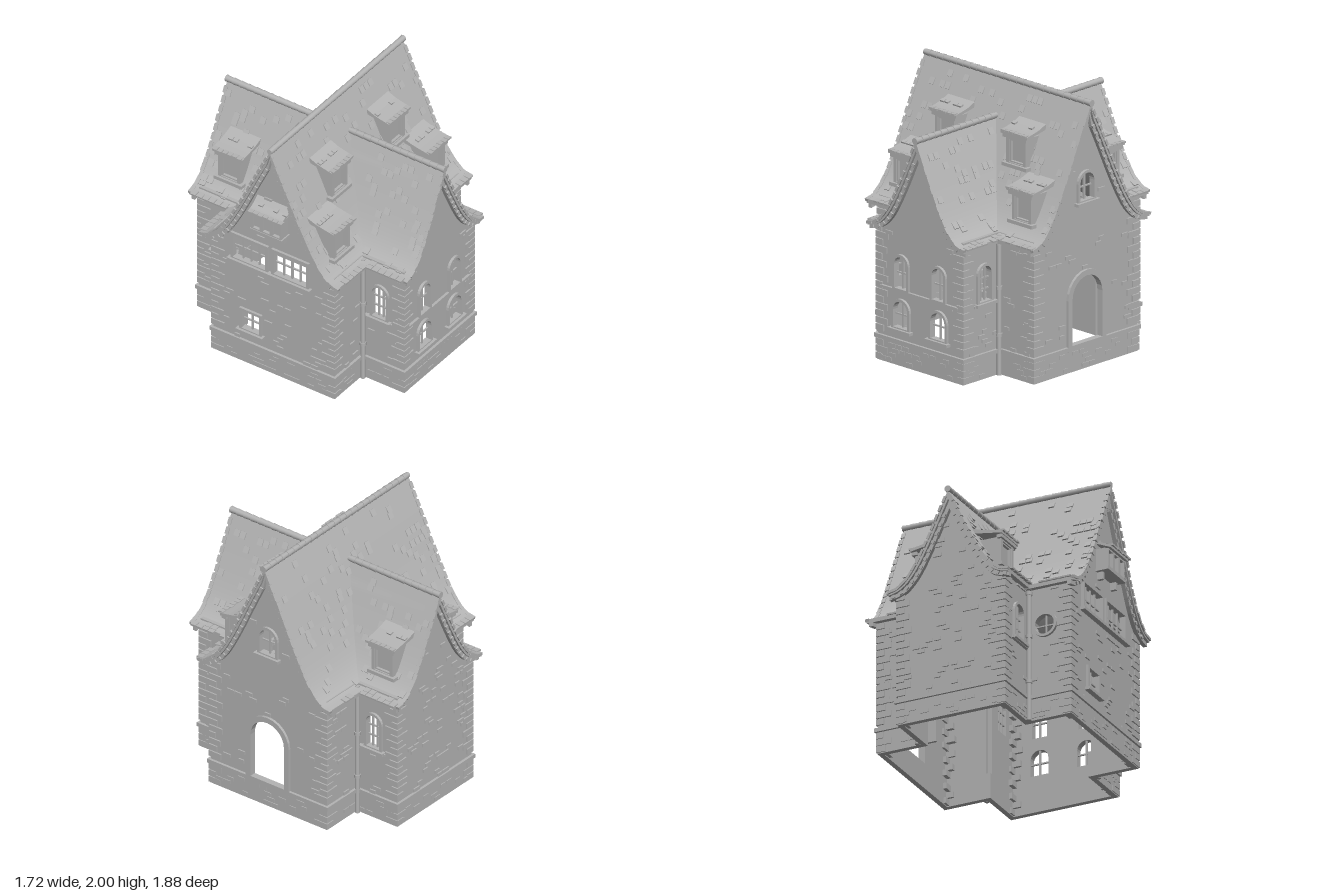
import * as THREE from 'three';
import { mergeGeometries, toCreasedNormals } from 'three/addons/utils/BufferGeometryUtils.js';

const stone = new THREE.MeshStandardMaterial({ color: 0xb4b4b4, side: THREE.DoubleSide });
stone.name = 'grey stone';
const PI = Math.PI, V = (x, y) => new THREE.Vector2(x, y);
let seed = 7;
const rand = () => (seed = (seed * 16807) % 2147483647) / 2147483647;

// Bell-cast roof curve: distance from the ridge -> height
const curve = new THREE.SplineCurve([[0, 1.97], [.12, 1.72], [.27, 1.4], [.37, 1.21], [.45, 1.1], [.52, 1.045], [.59, 1.025]]
  .map(p => V(...p))).getPoints(48);
function height(t) {
  t = Math.min(Math.abs(t), .59);
  const i = Math.max(1, curve.findIndex(p => p.x >= t - 1e-6));
  const a = curve[i - 1], b = curve[i];
  return a.y + (b.y - a.y) * (t - a.x) / (b.x - a.x);
}
const slope = t => (height(Math.min(t + .01, .59)) - height(Math.min(t + .01, .59) - .02)) / .02;
const SHIFT = .12; // the wings share the curve, starting lower down

function box(w, h, d, x = 0, y = 0, z = 0, rx = 0, rz = 0) {
  return new THREE.BoxGeometry(w, h, d).rotateX(rx).rotateZ(rz).translate(x, y, z).toNonIndexed();
}
const extrude = (shape, depth, z = 0) =>
  new THREE.ExtrudeGeometry(shape, { depth, bevelEnabled: false, curveSegments: 8 }).translate(0, 0, z);
function add(parent, name, geos) {
  if (Array.isArray(geos)) { if (!geos.length) return; geos = mergeGeometries(geos); }
  const m = new THREE.Mesh(geos, stone);
  m.name = name;
  parent.add(m);
}
// Group whose local +z points outward from one side of the house
function side(house, name, rot) {
  const g = new THREE.Group();
  g.name = name;
  g.rotation.y = rot;
  house.add(g);
  return g;
}

// Opening outline with its bottom centre at (u, y)
function outline(kind, u, y, w, h) {
  const r = w / 2, pts = [];
  if (kind === 'rect') pts.push(V(-r, 0), V(r, 0), V(r, h), V(-r, h));
  else if (kind === 'round') for (let i = 0; i < 20; i++) pts.push(V(r * Math.cos(i * PI / 10), r + r * Math.sin(i * PI / 10)));
  else {
    pts.push(V(-r, 0), V(r, 0));
    for (let i = 0; i <= 12; i++) pts.push(V(r * Math.cos(i * PI / 12), h - r + r * Math.sin(i * PI / 12)));
  }
  return pts.map(p => p.add(V(u, y)));
}
function ring(kind, u, y, w, h, f) {
  const s = new THREE.Shape(outline(kind, u, y - f, w + 2 * f, h + 2 * f));
  s.holes.push(new THREE.Path(outline(kind, u, y, w, h)));
  return s;
}
function windowTrim(g, dist, o) {
  const { kind, u, y, w, h, f = .02, v = 1, rows = 2, sill = true } = o;
  const parts = [extrude(ring(kind, u, y, w, h, f), .045, dist - .025)];
  for (let i = 1; i <= v; i++) parts.push(box(.012, h, .015, u - w / 2 + w * i / (v + 1), y + h / 2, dist - .015));
  for (let i = 1; i < rows; i++) parts.push(box(w, .01, .012, u, y + h * i / rows * .95, dist - .015));
  if (sill) parts.push(box(w + .08, .022, .06, u, y - f, dist + .01));
  add(g, 'windowFrame', parts);
}

// Wall panel with openings, trims and proud stones
function wall(g, dist, u0, u1, shift, openings = [], density = .13) {
  const top = u => shift === null ? 1.05 : height(Math.abs(u) + shift) - .03;
  const pts = [V(u0, .1), V(u1, .1)], n = shift === null ? 1 : 40;
  for (let i = 0; i <= n; i++) { const u = u1 + (u0 - u1) * i / n; pts.push(V(u, top(u))); }
  const s = new THREE.Shape(pts);
  for (const o of openings) s.holes.push(new THREE.Path(outline(o.kind, o.u, o.y, o.w, o.h)));
  add(g, 'wall', extrude(s, .03, dist - .03));
  for (const o of openings) windowTrim(g, dist, o);
  const bricks = [];
  for (let y = .03, row = 0; y < 1.7; y += .036, row++) {
    for (let u = u0 + .05 + (row % 2) * .03; u < u1 - .04; u += .066) {
      if (rand() > (y < .16 ? .35 : y > 1.05 ? density * .5 : density)) continue;
      if (y + .12 > top(u) && shift !== null && y > 1) continue;
      if (y > 1.02 && shift === null || Math.abs(y - .18) < .03) continue;
      if (openings.some(o => Math.abs(u - o.u) < o.w / 2 + .065 && y > o.y - .05 && y < o.y + o.h + .06)) continue;
      bricks.push(box(.045 + rand() * .025, .026, .016, u, y, dist + .002));
    }
  }
  add(g, 'wallStones', bricks);
}

// Cross-shaped band running around the whole plan
function crossBand(o, y0, y1) {
  const plan = k => {
    const X = .76 + k, W = .42 + k, Z = .52 + k, L = .88 + k;
    return [[W, L], [-W, L], [-W, Z], [-X, Z], [-X, -Z], [-W, -Z], [-W, -L], [W, -L], [W, -Z], [X, -Z], [X, Z], [W, Z]].map(p => V(...p));
  };
  const s = new THREE.Shape(plan(o));
  s.holes.push(new THREE.Path(plan(-.035)));
  return extrude(s, y1 - y0).rotateX(-PI / 2).translate(0, y0, 0);
}

// Band following the roof curve; a and b are depths below the surface
function roofBand(shift, a, b) {
  const up = [], low = [], half = .59 - shift, n = 44;
  for (let i = 0; i <= n; i++) {
    const u = -half + 2 * half * i / n, t = Math.abs(u) + shift, k = Math.hypot(1, slope(t));
    up.push(V(u, height(t) - a * k));
    low.unshift(V(u, height(t) - b * k));
  }
  return new THREE.Shape([...up, ...low]);
}
function roof(g, shift, z0, z1, ends, visible) {
  const geo = extrude(roofBand(shift, 0, .03), z1 - z0, z0), p = geo.attributes.position;
  // Mitre the inner end of a wing roof along the valleys
  if (shift) for (let i = 0; i < p.count; i++) if (Math.abs(p.getZ(i) - z0) < 1e-4) p.setZ(i, Math.abs(p.getX(i)) + .09);
  add(g, 'roof', toCreasedNormals(geo, .6));
  // Proud tiles, with full courses along the eaves
  const tiles = [], half = .59 - shift;
  for (const sgn of [-1, 1]) for (let u = .04; u < half + .01; u += .03 / Math.hypot(1, slope(u + shift)) + .006) {
    const eave = u > half - .02, a = Math.atan(slope(u + shift));
    for (let z = z0 + .03 + rand() * .02; z < z1 - .02; z += .052) {
      if (!visible(sgn * u, z) || rand() > (eave ? .8 : .14)) continue;
      tiles.push(box(.05, .012, .046, sgn * u, height(u + shift) + .002, z, 0, sgn * (a + .1)));
    }
  }
  // Ragged tile ends along the verges
  for (const e of ends) for (const sgn of [-1, 1]) for (let u = .03; u < half; u += .03) {
    tiles.push(box(.05, .02, .03, sgn * u, height(u + shift) - .008, e * (z1 - .01 + rand() * .008), 0, sgn * Math.atan(slope(u + shift))));
  }
  add(g, 'roofTiles', tiles);
  // Bargeboards with small blocks
  for (const e of ends) {
    const zb = e * (z1 - .035), blocks = [];
    add(g, 'bargeboard', extrude(roofBand(shift, .028, .058), .03, zb - .015));
    for (const sgn of [-1, 1]) for (let u = .04; u < half - .03; u += .07 / Math.hypot(1, slope(u + shift))) {
      const m = slope(u + shift), k = Math.hypot(1, m);
      blocks.push(box(.026, .024, .04, sgn * u, height(u + shift) - .043 * k, zb + e * .005, 0, sgn * Math.atan(m)));
    }
    add(g, 'bargeBlocks', blocks);
  }
  // Ridge tiles: overlapping half-round caps
  const caps = [], n = Math.round((z1 + .01 - z0) / .065), len = (z1 + .01 - z0) / n;
  for (let i = 0; i < n; i++) {
    caps.push(new THREE.CylinderGeometry(.025, .021, len, 10).rotateX(PI / 2)
      .translate(0, height(shift) + .004, z0 + len * (i + .5)));
  }
  add(g, 'ridgeTiles', caps);
}

// Lean-to cap seen from the side: front edge (zf, yf), back edge (zb, yb)
function leanTo(g, u, w, zf, yf, zb, yb) {
  const s = new THREE.Shape([V(zf, yf), V((zf * 2 + zb) / 3, yf + .012), V((zf + zb * 2) / 3, yf + (yb - yf) * .5),
    V(zb, yb), V(zb, yb - .04), V(zf, yf - .022)]);
  const parts = [extrude(s, w, -w / 2).rotateY(-PI / 2).translate(u, 0, 0)];
  for (let x = -w / 2 + .025; x < w / 2; x += .042) {
    parts.push(box(.036, .014, .04, u + x, yf + .002, zf - .012 + rand() * .01));
    if (rand() < .5) parts.push(box(.036, .012, .03, u + x, yf + (yb - yf) * .5 + .004, zf * .4 + zb * .6, .3));
  }
  add(g, 'dormerRoof', parts);
}
function dormer(g, u, zf, zb, y0, y1) {
  const w = .19, h = .2;
  add(g, 'dormerBody', [box(w - .01, y1 - y0 + .06, zf - zb - .03, u, (y0 + y1) / 2 - .03, (zf + zb - .03) / 2),
    extrude(ring('rect', u, y1 - h, w - .05, h - .03, .025), .035, zf - .03)]);
  add(g, 'dormerFrame', [extrude(ring('rect', u, y1 - h + .01, w - .07, h - .05, .012), .02, zf - .025),
    box(.24, .026, .05, u, y1 - h - .018, zf), box(.23, .025, .04, u, y1 - .005, zf)]);
  leanTo(g, u, .26, zf + .025, y1 + .03, zb, y1 + .085);
}

export function createModel() {
  const model = new THREE.Group();
  model.name = 'house';
  const house = new THREE.Group();
  house.name = 'crossGabledHouse';
  house.position.x = .025;
  model.add(house);
  const front = side(house, 'frontSide', 0), back = side(house, 'backSide', PI);
  const right = side(house, 'leftHandSide', PI / 2), left = side(house, 'rightHandSide', -PI / 2);

  // Gable walls
  wall(front, .88, -.42, .42, SHIFT, [-.183, .183].flatMap(u => [
    { kind: 'arch', u, y: .575, w: .115, h: .235, sill: false },
    { kind: 'arch', u, y: .285, w: .14, h: .195 }]), .03);
  add(front, 'stringCourse', box(.76, .016, .03, 0, .558, .885));
  wall(back, .88, -.42, .42, SHIFT);
  wall(right, .76, -.52, .52, 0, [
    { kind: 'arch', u: 0, y: .2, w: .3, h: .49, f: .042, v: 0, rows: 1, sill: false },
    { kind: 'arch', u: 0, y: 1.25, w: .14, h: .2 }], .09);
  add(right, 'openDoor', box(.02, .46, .24, .14, .43, .61));
  wall(left, .76, -.52, .52, 0, [-.2, .15].map(u => ({ kind: 'rect', u, y: .89, w: .28, h: .19, v: 3 }))
    .concat({ kind: 'rect', u: -.19, y: .3, w: .15, h: .15 }));

  // Wing side walls and the four recessed walls of the main block
  for (const g of [right, left]) for (const s of [-1, 1]) {
    wall(g, .42, Math.min(s * .52, s * .88), Math.max(s * .52, s * .88), null,
      [{ kind: 'arch', u: s * .675, y: .58, w: .12, h: .26, v: 2, rows: 3 }], .1);
    add(g, 'sillCourse', box(.26, .018, .035, s * .655, .555, .425));
  }
  for (const g of [front, back]) for (const s of [-1, 1]) {
    wall(g, .52, Math.min(s * .42, s * .76), Math.max(s * .42, s * .76), null,
      g === back && s > 0 ? [{ kind: 'round', u: .56, y: .65, w: .15, h: .15, sill: false }] : [], .13);
  }

  // Plinth and its ledge
  add(house, 'plinth', crossBand(.004, 0, .175));
  add(house, 'plinthLedge', crossBand(.02, .165, .195));

  // Corner stones and corner downpipes
  const quoins = [], pipes = [];
  for (const sx of [-1, 1]) for (const sz of [-1, 1]) {
    for (const [x, z] of [[.42, .88], [.76, .52]]) for (let i = 0; i < 19; i++) {
      const y = .03 + i * .053, a = (i % 2 ? .1 : .055) + rand() * .02, b = (i % 2 ? .055 : .1) + rand() * .02;
      if (Math.abs(y - .18) < .025) continue;
      quoins.push(box(a, .045, b, sx * (x + .011 - a / 2), y, sz * (z + .011 - b / 2)));
    }
    pipes.push(new THREE.CylinderGeometry(.018, .018, 1.04, 10).translate(sx * .44, .52, sz * .54));
    for (const y of [.3, .65, .98]) pipes.push(new THREE.CylinderGeometry(.024, .024, .025, 10).translate(sx * .44, y, sz * .54));
  }
  add(house, 'cornerStones', quoins);
  add(house, 'downpipes', pipes);

  // Roofs
  roof(right, 0, -.815, .815, [-1, 1], (u, z) => Math.abs(u) < Math.abs(z) + .1);
  for (const g of [front, back]) roof(g, SHIFT, .12, .93, [1], (u, z) => z > Math.abs(u) + .14);

  // Dormers
  for (const s of [-1, 1]) {
    dormer(front, s * .35, .275, .11, 1.38, 1.68);
    dormer(front, s * .58, .455, .25, 1.09, 1.355);
  }
  dormer(right, .68, .335, .13, 1.09, 1.355);
  dormer(left, -.68, .335, .13, 1.09, 1.355);

  // Oriel window under its own small roof
  const lights = [-.085, 0, .085].map(u => extrude(ring('rect', u, 1.29, .06, .12, .0125), .025, .83));
  add(left, 'oriel', [box(.255, .16, .08, 0, 1.35, .79), box(.275, .022, .11, 0, 1.268, .805), ...lights,
    ...[-.1, .1].map(u => box(.025, .06, .05, u, 1.23, .78))]);
  leanTo(left, 0, .28, .88, 1.44, .76, 1.51);
  return model;
}
